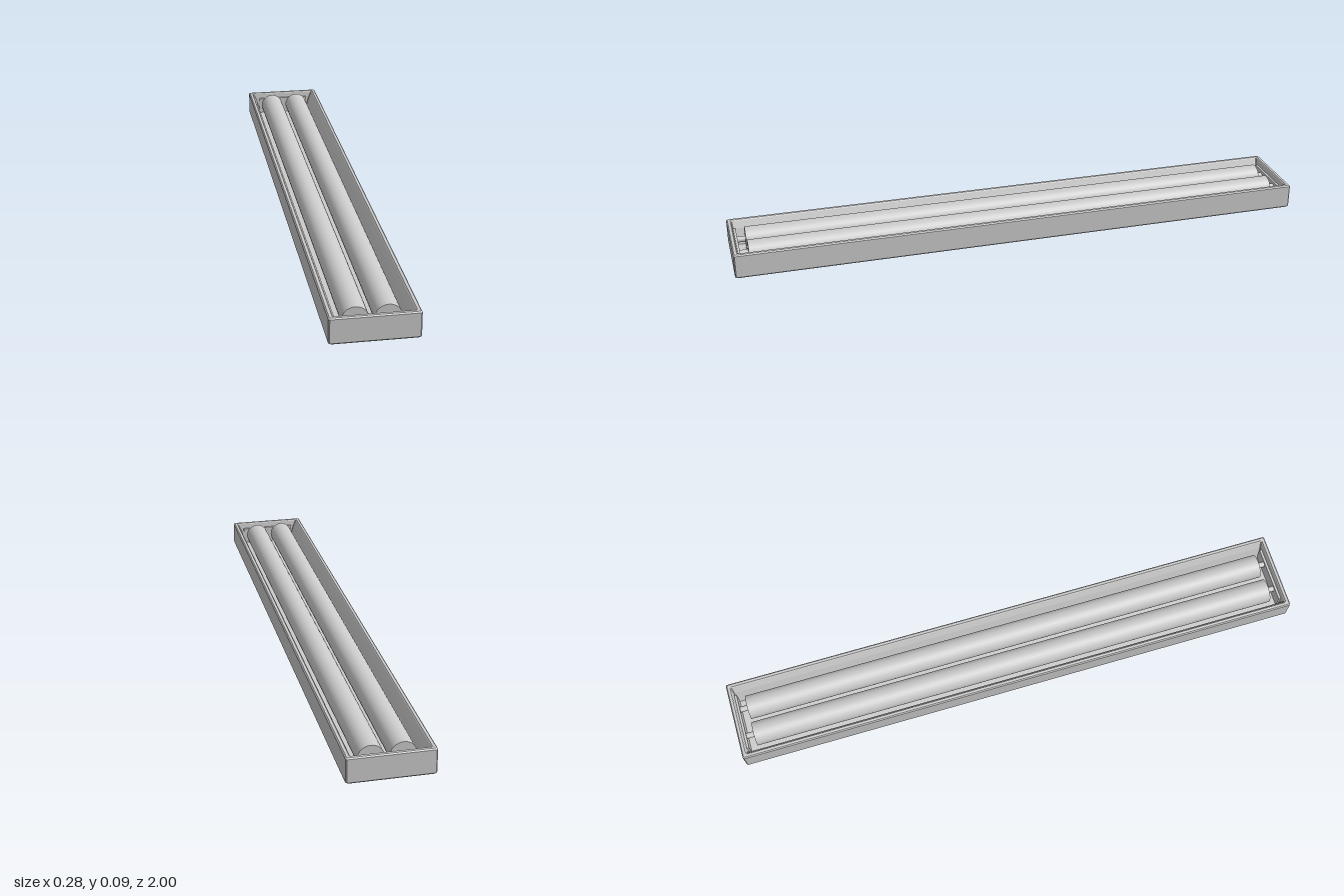
import * as THREE from 'three';

const material = new THREE.MeshStandardMaterial({ color: 0xcccccc });
const flatMaterial = new THREE.MeshStandardMaterial({ color: 0xcccccc, flatShading: true });

// Rectangle with cut corners: half width, half length, height, corner cut
function ring([hx, hz, y, c]) {
  return [
    [hx, -hz + c], [hx, hz - c], [hx - c, hz], [-hx + c, hz],
    [-hx, hz - c], [-hx, -hz + c], [-hx + c, -hz], [hx - c, -hz],
  ].map(([x, z]) => [x, y, z]);
}

// Skin a list of rings running from the underside, over the rim, to the floor
function loft(sections) {
  const rings = sections.map(ring);
  const pos = [];
  for (let r = 0; r < rings.length - 1; r++) {
    for (let i = 0; i < 8; i++) {
      const j = (i + 1) % 8;
      const a = rings[r][i], b = rings[r][j], c = rings[r + 1][i], d = rings[r + 1][j];
      pos.push(...a, ...c, ...b, ...b, ...c, ...d);
    }
  }
  const g = new THREE.BufferGeometry();
  g.setAttribute('position', new THREE.Float32BufferAttribute(pos, 3));
  g.computeVertexNormals();
  return g;
}

function add(parent, name, geometry, mat, x = 0, y = 0, z = 0) {
  const mesh = new THREE.Mesh(geometry, mat);
  mesh.name = name;
  mesh.position.set(x, y, z);
  parent.add(mesh);
  return mesh;
}

export function createModel() {
  const model = new THREE.Group();
  model.name = 'lightFixture';

  // Bevelled tray with a rolled rim and sloping reflector sides
  add(model, 'housing', loft([
    [0, 0, 0, 0],
    [0.134, 0.995, 0, 0.004],
    [0.139, 1, 0.005, 0.004],
    [0.139, 1, 0.083, 0.004],
    [0.135, 0.996, 0.087, 0.003],
    [0.126, 0.987, 0.087, 0.002],
    [0.123, 0.984, 0.084, 0.002],
    [0.112, 0.981, 0.06, 0.002],
    [0.095, 0.977, 0.006, 0.002],
    [0, 0, 0.006, 0],
  ]), flatMaterial);

  // Two lamps, each with a contact stub at both ends
  const lamp = new THREE.CylinderGeometry(0.042, 0.042, 1.89, 32).rotateX(Math.PI / 2);
  const stub = new THREE.CylinderGeometry(0.01, 0.01, 0.04, 16).rotateX(Math.PI / 2);
  for (const side of [1, -1]) {
    const unit = new THREE.Group();
    unit.name = side > 0 ? 'leftLamp' : 'rightLamp';
    unit.position.set(side * 0.05, 0.048, 0);
    add(unit, 'tube', lamp, material);
    for (const end of [1, -1]) add(unit, 'contactStub', stub, material, 0, 0, end * 0.96);
    model.add(unit);
  }

  // Socket strips at the two ends
  for (const end of [1, -1]) {
    add(model, end > 0 ? 'frontSocketStrip' : 'backSocketStrip',
      new THREE.BoxGeometry(0.2, 0.06, 0.008), flatMaterial, 0, 0.036, end * 0.977);
  }
  return model;
}
